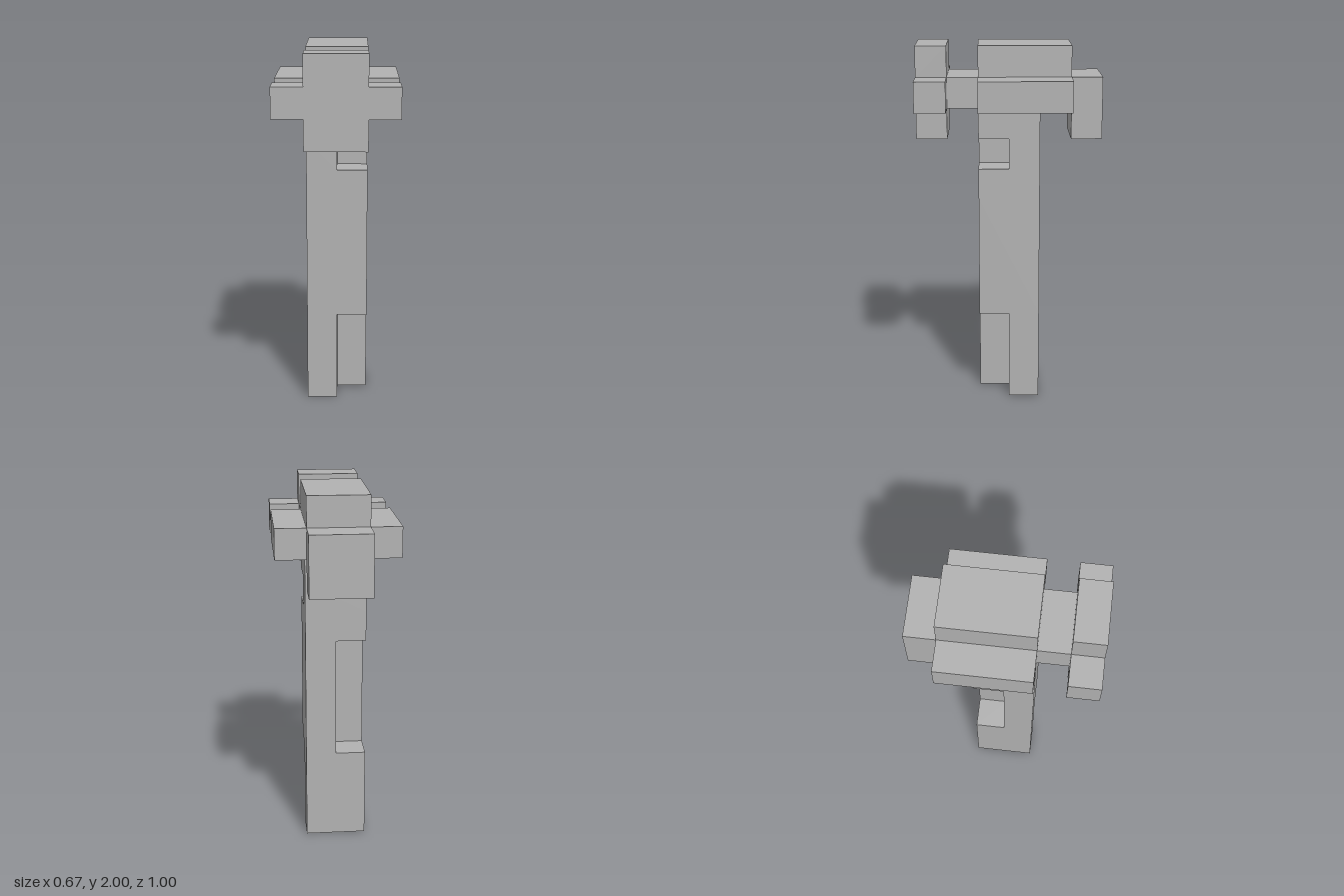
import * as THREE from 'three';

const U = 1 / 6; // one block unit

export function createModel() {
  const model = new THREE.Group();
  const grey = new THREE.MeshStandardMaterial({ color: 0xb2b2b2 });

  function add(name, geometry) {
    const mesh = new THREE.Mesh(geometry.scale(U, U, U), grey);
    mesh.name = name;
    model.add(mesh);
  }

  // Box given by its extents in block units
  function block(name, [x0, x1], [y0, y1], [z0, z1]) {
    add(name, new THREE.BoxGeometry(x1 - x0, y1 - y0, z1 - z0)
      .translate((x0 + x1) / 2, (y0 + y1) / 2, (z0 + z1) / 2));
  }

  function extrude(points, depth) {
    const shape = new THREE.Shape(points.map(([x, y]) => new THREE.Vector2(x, y)));
    return new THREE.ExtrudeGeometry(shape, { depth, bevelEnabled: false });
  }

  // Handle section with one quarter cut away: front left, or back right when turned
  function notched(name, y0, y1, turned) {
    const corner = [[-1, -1], [0, -1], [0, 0], [1, 0], [1, 1], [-1, 1]];
    const geometry = extrude(corner, y1 - y0).rotateX(-Math.PI / 2);
    if (turned) geometry.rotateY(Math.PI);
    add(name, geometry.translate(0, y0, 0));
  }

  // Handle, from the foot upwards
  notched('handleFoot', 0, 3, false);
  notched('handleGrip', 3, 7, true);
  block('handleMiddle', [-1, 1], [7, 8], [-1, 1]);
  notched('handleNotch', 8, 9, false);
  block('handleTop', [-1, 1], [9, 10], [-1, 1]);

  // Hammer head
  block('headBody', [-2, 2], [10, 11], [-2, 1]);
  block('headCap', [-1, 1], [11, 12], [-2, 1]);
  block('headNeck', [-1, 1], [10, 11], [1, 2]);
  block('backBlock', [-1, 1], [9, 11], [-3, -2]);

  // Cross-shaped striking face
  const cross = [[-1, 9], [1, 9], [1, 10], [2, 10], [2, 11], [1, 11],
    [1, 12], [-1, 12], [-1, 11], [-2, 11], [-2, 10], [-1, 10]];
  add('strikingFace', extrude(cross, 1).translate(0, 0, 2));

  return model;
}
